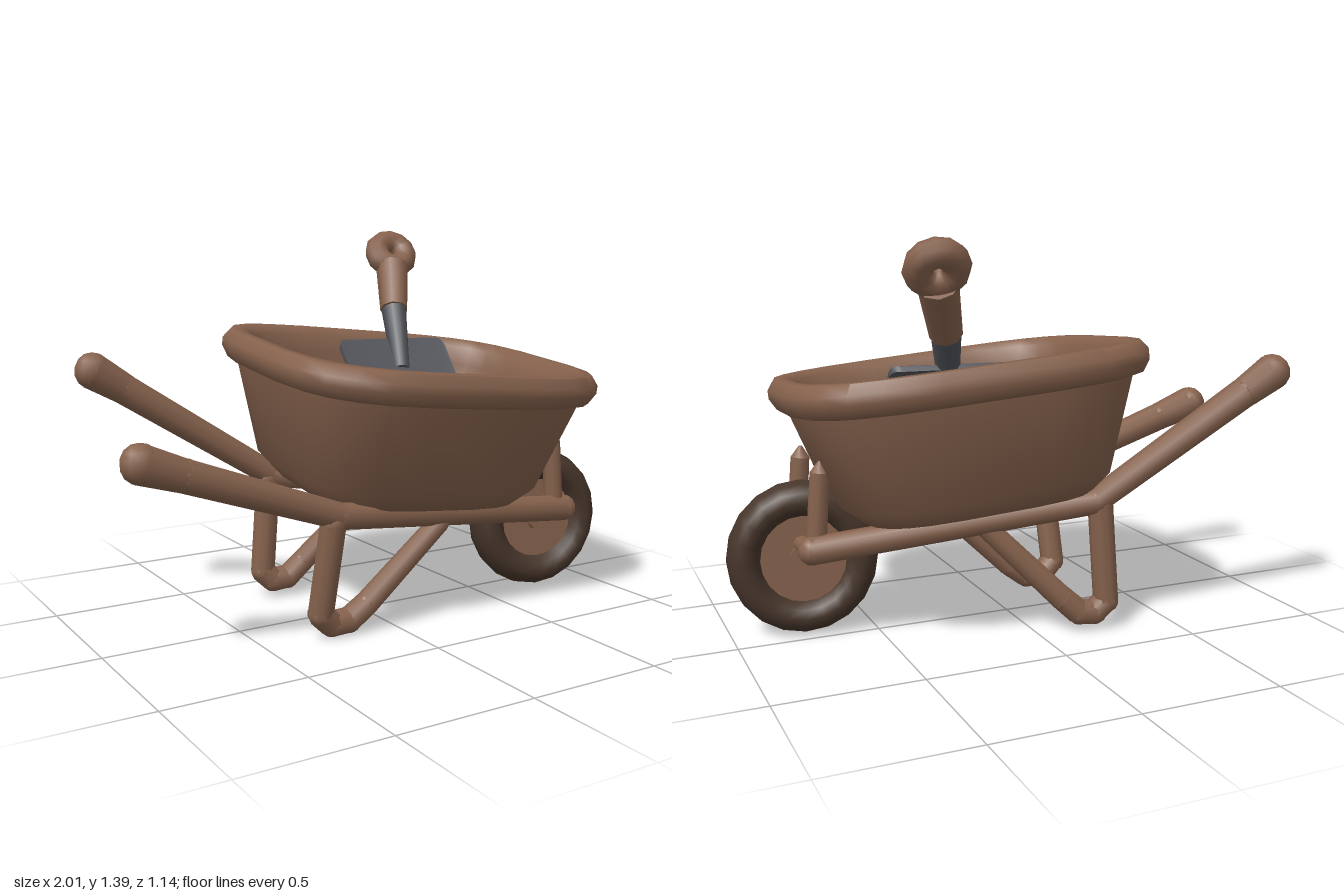
import * as THREE from 'three';
import { toCreasedNormals } from 'three/addons/utils/BufferGeometryUtils.js';

const V = (p) => new THREE.Vector3(...p);
const paint = (name, color) => {
  const m = new THREE.MeshStandardMaterial({ color });
  m.name = name;
  return m;
};

export function createModel() {
  const wood = paint('warm brown', 0x86624d);
  const rubber = paint('dark tyre brown', 0x46352a);
  const earth = paint('dark soil', 0x4a3629);
  const steel = paint('grey steel', 0x515359);
  const stone = paint('light clay', 0x9a6c52);

  const model = new THREE.Group();
  model.name = 'wheelbarrow';

  const add = (parent, name, geo, mat) => {
    const mesh = new THREE.Mesh(geo, mat);
    mesh.name = name;
    parent.add(mesh);
    return mesh;
  };
  const group = (name) => {
    const g = new THREE.Group();
    g.name = name;
    model.add(g);
    return g;
  };

  // Tapered round bar between two points
  const bar = (parent, name, a, b, ra, rb, mat = wood) => {
    const dir = V(b).sub(V(a));
    const geo = new THREE.CylinderGeometry(rb, ra, dir.length(), 9);
    const mesh = add(parent, name, geo, mat);
    mesh.position.copy(V(a)).addScaledVector(dir, 0.5);
    mesh.quaternion.setFromUnitVectors(new THREE.Vector3(0, 1, 0), dir.normalize());
  };

  // Chain of bars with rounded joints; each point is [x, y, z, radius]
  const limb = (name, pts) => {
    const g = group(name);
    pts.forEach((p, i) => {
      add(g, name + 'Joint', new THREE.SphereGeometry(p[3], 9, 7), wood).position.set(p[0], p[1], p[2]);
      if (i) {
        const q = pts[i - 1];
        bar(g, name + 'Bar', q.slice(0, 3), p.slice(0, 3), q[3], p[3]);
      }
    });
  };

  // Tub: rounded-rectangle loops, up the outside, over the rim, down the inside
  const rows = [
    [0.001, 0.001, -0.465], [0.41, 0.355, -0.465], [0.48, 0.412, -0.4], [0.58, 0.505, -0.07],
    [0.615, 0.532, -0.06], [0.637, 0.552, -0.02], [0.637, 0.552, 0.01], [0.612, 0.53, 0.045],
    [0.575, 0.495, 0.047], [0.545, 0.465, 0.02], [0.535, 0.455, -0.05], [0.5, 0.42, -0.27],
    [0.46, 0.385, -0.31], [0.001, 0.001, -0.32],
  ];
  const N = 24, pos = [], idx = [];
  const bulge = (v) => Math.sign(v) * Math.abs(v) ** 0.56;
  rows.forEach(([hx, hz, y], i) => {
    for (let j = 0; j < N; j++) {
      const t = ((j + 0.5) / N) * Math.PI * 2;
      const x = hx * bulge(Math.cos(t));
      pos.push(x, y, hz * bulge(Math.sin(t)) * (1 - 0.08 * x));
      if (i < rows.length - 1) {
        const a = i * N + j, d = i * N + ((j + 1) % N);
        idx.push(a, a + N, d + N, a, d + N, d);
      }
    }
  });
  const tubGeo = new THREE.BufferGeometry();
  tubGeo.setAttribute('position', new THREE.Float32BufferAttribute(pos, 3));
  tubGeo.setIndex(idx);
  const tub = add(model, 'tub', toCreasedNormals(tubGeo, 0.9), wood);
  tub.position.set(0.2, 0.92, 0.02);
  tub.rotation.set(0.08, -0.07, -0.09);

  // Long arms running from the grips to the axle
  limb('leftArm', [[-0.94, 0.695, 0.25, 0.066], [-0.8, 0.645, 0.258, 0.056], [-0.25, 0.45, 0.28, 0.047], [0.77, 0.345, 0.24, 0.05]]);
  limb('rightArm', [[-0.86, 0.91, -0.41, 0.066], [-0.75, 0.84, -0.4, 0.056], [-0.2, 0.48, -0.32, 0.047], [0.75, 0.345, -0.07, 0.05]]);

  // Bent support legs
  limb('leftLeg', [[-0.28, 0.43, 0.28, 0.046], [-0.3, 0.1, 0.225, 0.046], [-0.25, 0.053, 0.215, 0.046],
    [-0.18, 0.055, 0.215, 0.046], [-0.11, 0.105, 0.22, 0.044], [0.17, 0.37, 0.26, 0.038]]);
  limb('rightLeg', [[-0.22, 0.47, -0.32, 0.046], [-0.25, 0.11, -0.315, 0.046], [-0.21, 0.07, -0.305, 0.046],
    [-0.15, 0.075, -0.3, 0.046], [-0.09, 0.13, -0.29, 0.044], [0.17, 0.4, -0.21, 0.038]]);

  // Upright struts with pointed tops beside the wheel
  [['leftStrut', 0.23], ['rightStrut', -0.045]].forEach(([name, z]) => {
    bar(model, name, [0.73, 0.34, z], [0.71, 0.61, z], 0.036, 0.034);
    bar(model, name + 'Tip', [0.71, 0.61, z], [0.708, 0.65, z], 0.034, 0.006);
  });
  bar(model, 'axle', [0.765, 0.34, 0.24], [0.75, 0.34, -0.07], 0.03, 0.03);

  // Wheel
  const wheel = group('wheel');
  wheel.position.set(0.745, 0.285, 0.085);
  wheel.rotation.y = -0.18;
  add(wheel, 'tyre', new THREE.TorusGeometry(0.211, 0.064, 12, 20), rubber).scale.set(0.965, 1, 1.3);
  add(wheel, 'rimDisc', new THREE.CylinderGeometry(0.175, 0.175, 0.08, 18), wood).rotation.x = Math.PI / 2;
  add(wheel, 'hub', new THREE.CylinderGeometry(0.045, 0.055, 0.13, 10), wood).rotation.x = Math.PI / 2;

  // Turns a part so its y axis follows up and its x axis follows across
  const aim = (mesh, up, across) => {
    const y = V(up).normalize(), x = V(across);
    x.addScaledVector(y, -x.dot(y)).normalize();
    mesh.quaternion.setFromRotationMatrix(new THREE.Matrix4().makeBasis(x, y, x.clone().cross(y)));
  };

  // Shovel blade: dished plate, its top edge at local y = 0
  const blade = new THREE.Shape();
  blade.moveTo(-0.18, 0);
  blade.lineTo(0.18, 0);
  blade.quadraticCurveTo(0.22, 0, 0.22, -0.05);
  blade.lineTo(0.21, -0.4);
  blade.quadraticCurveTo(0.17, -0.58, 0, -0.64);
  blade.quadraticCurveTo(-0.17, -0.58, -0.21, -0.4);
  blade.lineTo(-0.22, -0.05);
  blade.quadraticCurveTo(-0.22, 0, -0.18, 0);
  const bladeGeo = new THREE.ExtrudeGeometry(blade, { depth: 0.022, bevelEnabled: false, curveSegments: 5 });
  const bp = bladeGeo.attributes.position;
  for (let i = 0; i < bp.count; i++) bp.setZ(i, bp.getZ(i) + 0.5 * bp.getX(i) ** 2 - 0.015);
  const shovel = group('shovel');
  const bladeMesh = add(shovel, 'shovelBlade', toCreasedNormals(bladeGeo, 0.6), steel);
  bladeMesh.position.set(0.3, 0.965, -0.28);
  aim(bladeMesh, [0.08, 0.43, -0.47], [0.44, -0.03, 0.1]);

  // Shovel socket, handle and thick ring grip
  bar(shovel, 'shovelSocket', [0.285, 0.87, -0.165], [0.355, 1.09, -0.325], 0.034, 0.05, steel);
  bar(shovel, 'shovelHandle', [0.355, 1.09, -0.325], [0.426, 1.255, -0.448], 0.055, 0.066);
  const grip = add(shovel, 'shovelGrip', new THREE.TorusGeometry(0.06, 0.049, 9, 12), wood);
  grip.position.set(0.443, 1.307, -0.486);
  aim(grip, [0.11, 0.34, -0.26], [1, 0, 0.15]);

  // Lumpy clods: [x, y, z, radiusX, radiusY, radiusZ]
  const load = group('load');
  const clod = (name, mat, [x, y, z, rx, ry = rx, rz = rx], seed) => {
    const geo = new THREE.SphereGeometry(1, 12, 8);
    const p = geo.attributes.position, v = new THREE.Vector3();
    for (let i = 0; i < p.count; i++) {
      v.fromBufferAttribute(p, i);
      v.multiplyScalar(1 + 0.06 * Math.sin(3 * v.x + seed) + 0.06 * Math.sin(3 * v.z + 2 * v.y + 2 * seed));
      p.setXYZ(i, v.x, v.y, v.z);
    }
    const mesh = add(load, name, toCreasedNormals(geo, 1.1), mat);
    mesh.position.set(x, y, z);
    mesh.scale.set(rx, ry, rz);
  };
  [
    [-0.05, 0.67, -0.02, 0.17, 0.16, 0.15], [0.13, 0.65, 0.06, 0.15, 0.13, 0.11],
    [-0.12, 0.66, -0.25, 0.14, 0.11, 0.11], [-0.06, 0.77, -0.21, 0.045], [-0.08, 0.72, -0.39, 0.04],
    [0.18, 0.76, -0.03, 0.055], [0.43, 0.77, 0.11, 0.065], [0.53, 0.75, 0.06, 0.05],
    [0.61, 0.69, -0.04, 0.062], [0.34, 0.68, 0.05, 0.05], [0.24, 0.62, 0.27, 0.13, 0.07, 0.085],
    [0.46, 0.61, 0.24, 0.12, 0.09, 0.1], [-0.11, 0.66, 0.25, 0.068], [0.05, 0.69, 0.21, 0.05, 0.05, 0.07],
    [0.54, 0.6, -0.12, 0.08, 0.08, 0.12],
  ].forEach((c, i) => clod('soilClod', earth, c, i * 1.7));
  [
    [-0.26, 0.74, -0.18, 0.04], [-0.27, 0.7, 0.09, 0.037], [0.01, 0.83, 0.04, 0.026],
    [0.54, 0.69, -0.16, 0.037], [0.05, 0.63, 0.26, 0.05],
  ].forEach((c, i) => clod('pebble', stone, c, i * 2.3));

  return model;
}
